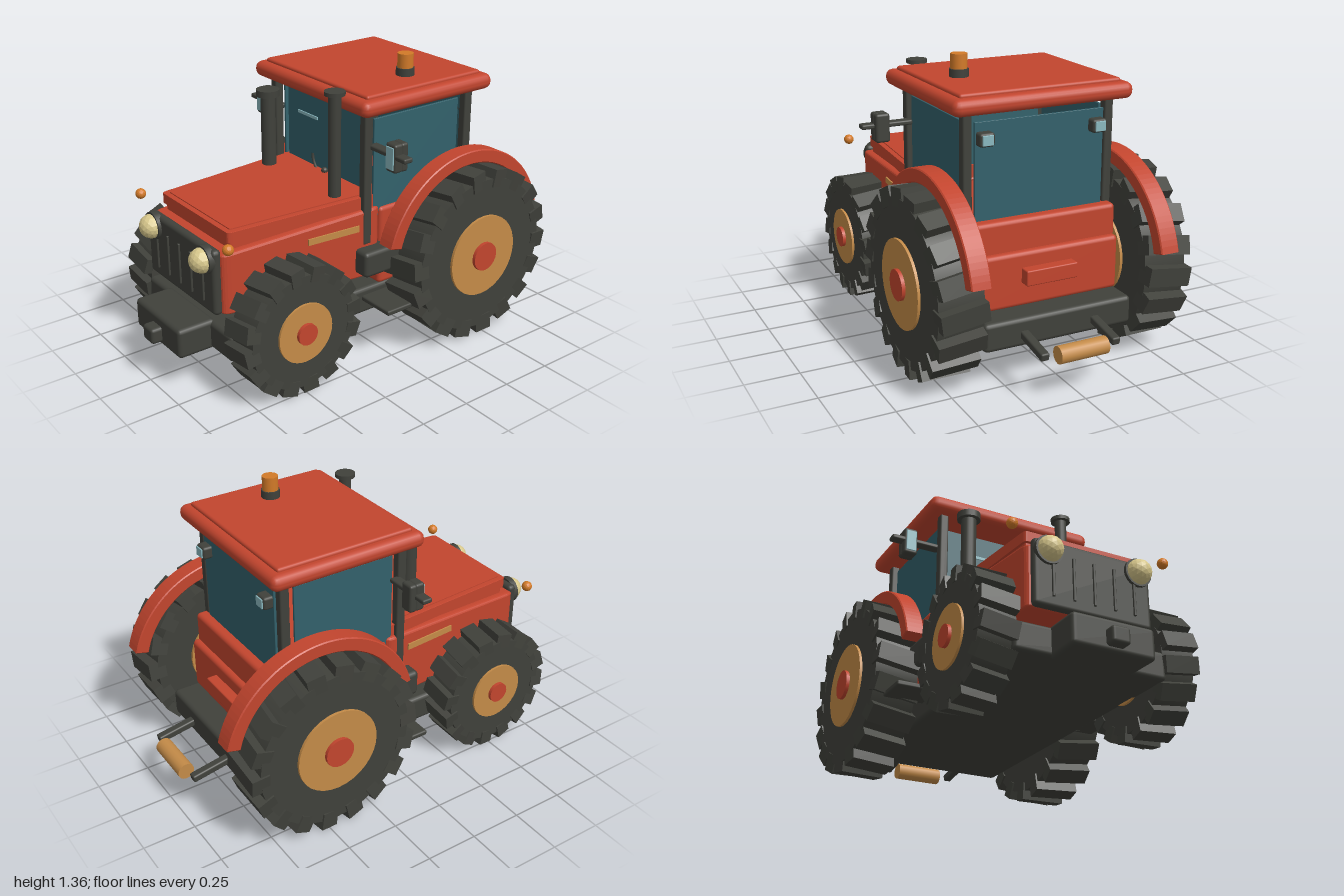
import * as THREE from 'three';
import { RoundedBoxGeometry } from 'three/addons/geometries/RoundedBoxGeometry.js';

const mat = (name, color) => {
  const m = new THREE.MeshStandardMaterial({ color });
  m.name = name;
  return m;
};

export function createModel() {
  const root = new THREE.Group();
  root.name = 'tractor';
  const red = mat('red paint', 0xc2452e);
  const dark = mat('dark rubber', 0x40413b);
  const tan = mat('tan rim', 0xc48b48);
  const glass = mat('window glass', 0x33616b);
  const pale = mat('pale reflector', 0x8ab8bf);
  const orange = mat('orange lamp', 0xd27a28);
  const cream = mat('cream headlight', 0xd8c88c);

  const add = (name, geo, material, x = 0, y = 0, z = 0, parent = root) => {
    const m = new THREE.Mesh(geo, material);
    m.name = name;
    m.position.set(x, y, z);
    parent.add(m);
    return m;
  };
  // Bevelled box given by its limits on each axis
  const box = (name, material, [x0, x1], [y0, y1], [z0, z1], r = 0.012) => {
    const w = x1 - x0, h = y1 - y0, d = z1 - z0;
    const geo = new RoundedBoxGeometry(w, h, d, 2, Math.min(r, w * 0.45, h * 0.45, d * 0.45));
    return add(name, geo, material, (x0 + x1) / 2, (y0 + y1) / 2, (z0 + z1) / 2);
  };
  const rod = (name, material, r, y0, y1, x, z) =>
    add(name, new THREE.CylinderGeometry(r, r, y1 - y0, 16), material, x, (y0 + y1) / 2, z);
  const ball = (name, material, r, x, y, z) => {
    const geo = new THREE.IcosahedronGeometry(r, 2);
    geo.computeVertexNormals(); // facets
    return add(name, geo, material, x, y, z);
  };
  const axleDisc = (r, w, n = 32) => new THREE.CylinderGeometry(r, r, w, n).rotateZ(Math.PI / 2);

  // Wheel with slanted lugs, rim and hub on the outer side s
  const wheel = (name, s, { x, y, z, r, width, lugs, lugW, lugH, rim, hub }) => {
    const g = new THREE.Group();
    g.name = name;
    g.position.set(s * x, y, z);
    root.add(g);
    add('tyre', axleDisc(r, width * 0.94), dark, 0, 0, 0, g);
    add('rim', axleDisc(rim, width + 0.012), tan, 0, 0, 0, g);
    add('hub', axleDisc(hub, 0.06, 20), red, s * (width / 2 - 0.008), 0, 0, g);
    const lug = new THREE.BoxGeometry(width * 0.97, lugH, lugW).rotateY(s * 0.14);
    for (let i = 0; i < lugs; i++) {
      const a = ((i + 0.4) / lugs) * Math.PI * 2;
      const m = add('lug', lug, dark, 0, Math.cos(a) * r, Math.sin(a) * r, g);
      m.rotation.x = a;
    }
  };

  // Chassis and front weight
  box('chassis', dark, [-0.36, 0.36], [0.185, 0.315], [-0.78, 0.79], 0.02);
  box('frontWeight', dark, [-0.195, 0.195], [0.18, 0.322], [0.76, 0.95], 0.02);
  box('frontHitch', dark, [-0.043, 0.043], [0.2, 0.275], [0.93, 1.0], 0.015);

  // Tapered hood: narrower and shallower toward the nose
  const hoodLoft = (name, z0, z1, back, front, r) => {
    const geo = new RoundedBoxGeometry(1, 1, z1 - z0, 2, r);
    const p = geo.attributes.position;
    for (let i = 0; i < p.count; i++) {
      const t = p.getZ(i) / (z1 - z0) + 0.5;
      const [w, b, top] = back.map((v, k) => v + (front[k] - v) * t);
      p.setXYZ(i, p.getX(i) * 2 * w, b + (p.getY(i) + 0.5) * (top - b), p.getZ(i));
    }
    geo.computeVertexNormals();
    return add(name, geo, red, 0, 0, (z0 + z1) / 2);
  };
  hoodLoft('hood', -0.03, 0.78, [0.365, 0.37, 0.715], [0.3, 0.385, 0.675], 0.04);
  hoodLoft('hoodTop', -0.02, 0.735, [0.345, 0.705, 0.77], [0.28, 0.71, 0.76], 0.022);
  hoodLoft('hoodTopPanel', 0.0, 0.71, [0.32, 0.75, 0.775], [0.255, 0.745, 0.765], 0.01);
  hoodLoft('hoodNeck', 0.0, 0.72, [0.33, 0.66, 0.72], [0.27, 0.64, 0.72], 0.01);

  // Grille with slats
  box('grille', dark, [-0.283, 0.283], [0.387, 0.695], [0.77, 0.815], 0.02);
  for (let i = -2; i <= 2; i++)
    box('grilleSlat', dark, [i * 0.098 - 0.006, i * 0.098 + 0.006], [0.435, 0.63], [0.81, 0.824], 0.003);

  // Cab body, roof and roof panel
  box('cabBody', red, [-0.36, 0.36], [0.31, 0.7], [-0.63, -0.03], 0.02);
  box('cabRearPanel', red, [-0.36, 0.36], [0.31, 0.56], [-0.66, -0.4], 0.02);
  box('rearPlate', red, [-0.125, 0.125], [0.42, 0.49], [-0.71, -0.64], 0.006);
  box('roof', red, [-0.428, 0.428], [1.168, 1.242], [-0.645, 0.12], 0.036);
  box('roofPanel', red, [-0.385, 0.385], [1.22, 1.258], [-0.6, 0.075], 0.012);

  // Windows
  box('windscreen', glass, [-0.31, 0.31], [0.69, 1.13], [-0.012, 0], 0.002);
  box('rearWindow', glass, [-0.31, 0.31], [0.69, 1.13], [-0.582, -0.57], 0.002);
  box('windscreenGlint', pale, [-0.225, -0.07], [1.01, 1.026], [0, 0.006], 0.002);

  // Steering wheel showing just ahead of the windscreen
  const steer = add('steeringWheel', new THREE.TorusGeometry(0.1, 0.007, 8, 24, Math.PI), dark, 0, 0.84, 0.01);
  steer.rotation.z = Math.PI;
  ball('steeringHub', dark, 0.016, 0, 0.782, 0.015);

  // Exhaust and air intake
  rod('airIntake', dark, 0.036, 0.72, 1.12, -0.258, 0.155);
  rod('airIntakeCap', dark, 0.056, 1.115, 1.147, -0.258, 0.155);
  rod('exhaust', dark, 0.029, 0.72, 1.255, 0.252, 0.15);
  rod('exhaustCap', dark, 0.048, 1.247, 1.265, 0.252, 0.15);

  // Roof beacon
  rod('beaconBase', dark, 0.043, 1.25, 1.294, 0.233, -0.27);
  rod('beacon', orange, 0.037, 1.294, 1.36, 0.233, -0.27);

  // Mudguard section, an arc over the rear wheel
  const arc = new THREE.Shape();
  arc.absarc(0, 0, 0.48, 0.26, Math.PI - 0.26, false);
  arc.absarc(0, 0, 0.425, Math.PI - 0.26, 0.26, true);
  const guardGeo = new THREE.ExtrudeGeometry(arc, { depth: 0.08, bevelSize: 0.005, bevelThickness: 0.005, bevelSegments: 1, curveSegments: 24 });
  guardGeo.translate(0, 0, -0.04).rotateY(-Math.PI / 2);

  for (const s of [1, -1]) {
    const side = (a, b) => (s > 0 ? [a, b] : [-b, -a]);

    wheel('rearWheel', s, { x: 0.492, y: 0.428, z: -0.46, r: 0.378, width: 0.22, lugs: 18, lugW: 0.085, lugH: 0.085, rim: 0.2, hub: 0.07 });
    wheel('frontWheel', s, { x: 0.43, y: 0.313, z: 0.51, r: 0.27, width: 0.175, lugs: 16, lugW: 0.075, lugH: 0.07, rim: 0.14, hub: 0.05 });
    add('mudguard', guardGeo, red, s * 0.448, 0.43, -0.46);

    // Cab posts and side window
    box('frontPost', dark, side(0.32, 0.362), [0.54, 1.18], [0.02, 0.065], 0.008);
    box('rearPost', dark, side(0.32, 0.362), [0.54, 1.18], [-0.58, -0.535], 0.008);
    box('sideWindow', glass, side(0.333, 0.345), [0.66, 1.13], [-0.505, 0], 0.002);

    // Mirror on its arm
    box('mirrorArm', dark, side(0.345, 0.59), [0.997, 1.02], [-0.015, 0.035], 0.008);
    box('mirror', dark, side(0.465, 0.532), [0.935, 1.068], [-0.04, -0.002], 0.012);
    box('mirrorFrame', dark, side(0.465, 0.532), [0.935, 1.068], [-0.01, 0.038], 0.012);
    box('mirrorFace', pale, side(0.474, 0.523), [0.95, 1.053], [0.036, 0.043], 0.002);

    // Rear work lamp
    box('workLamp', dark, side(0.235, 0.305), [1.03, 1.09], [-0.625, -0.57], 0.012);
    box('workLampFace', pale, side(0.245, 0.295), [1.038, 1.082], [-0.631, -0.624], 0.002);

    // Side tank and step
    box('sideTank', dark, side(0.3, 0.43), [0.405, 0.53], [-0.13, 0.105], 0.02);
    box('step', dark, side(0.34, 0.55), [0.255, 0.28], [-0.1, 0.07], 0.008);

    // Headlight and marker lamp
    const ring = add('headlightRing', new THREE.CylinderGeometry(0.065, 0.065, 0.03, 20), dark, s * 0.217, 0.64, 0.815);
    ring.rotation.x = Math.PI / 2;
    ball('headlight', cream, 0.057, s * 0.217, 0.64, 0.832);
    ball('markerLamp', orange, 0.025, s * 0.373, 0.737, 0.795);

    // Hood stripe following the taper
    const stripe = add('hoodStripe', new THREE.BoxGeometry(0.009, 0.03, 0.27), tan, s * 0.347, 0.63, 0.225);
    stripe.rotation.y = -s * 0.08;

    // Rear hitch arm
    const arm = add('hitchArm', new RoundedBoxGeometry(0.04, 0.035, 0.3, 2, 0.008), dark, s * 0.172, 0.235, -0.81);
    arm.rotation.x = -0.17;
  }

  // Axles and rear roller
  add('rearAxle', axleDisc(0.06, 0.9, 16), dark, 0, 0.428, -0.46);
  add('frontAxle', axleDisc(0.04, 0.8, 16), dark, 0, 0.313, 0.51);
  add('rearRoller', axleDisc(0.039, 0.23, 16), tan, 0, 0.21, -0.958);

  return root;
}
